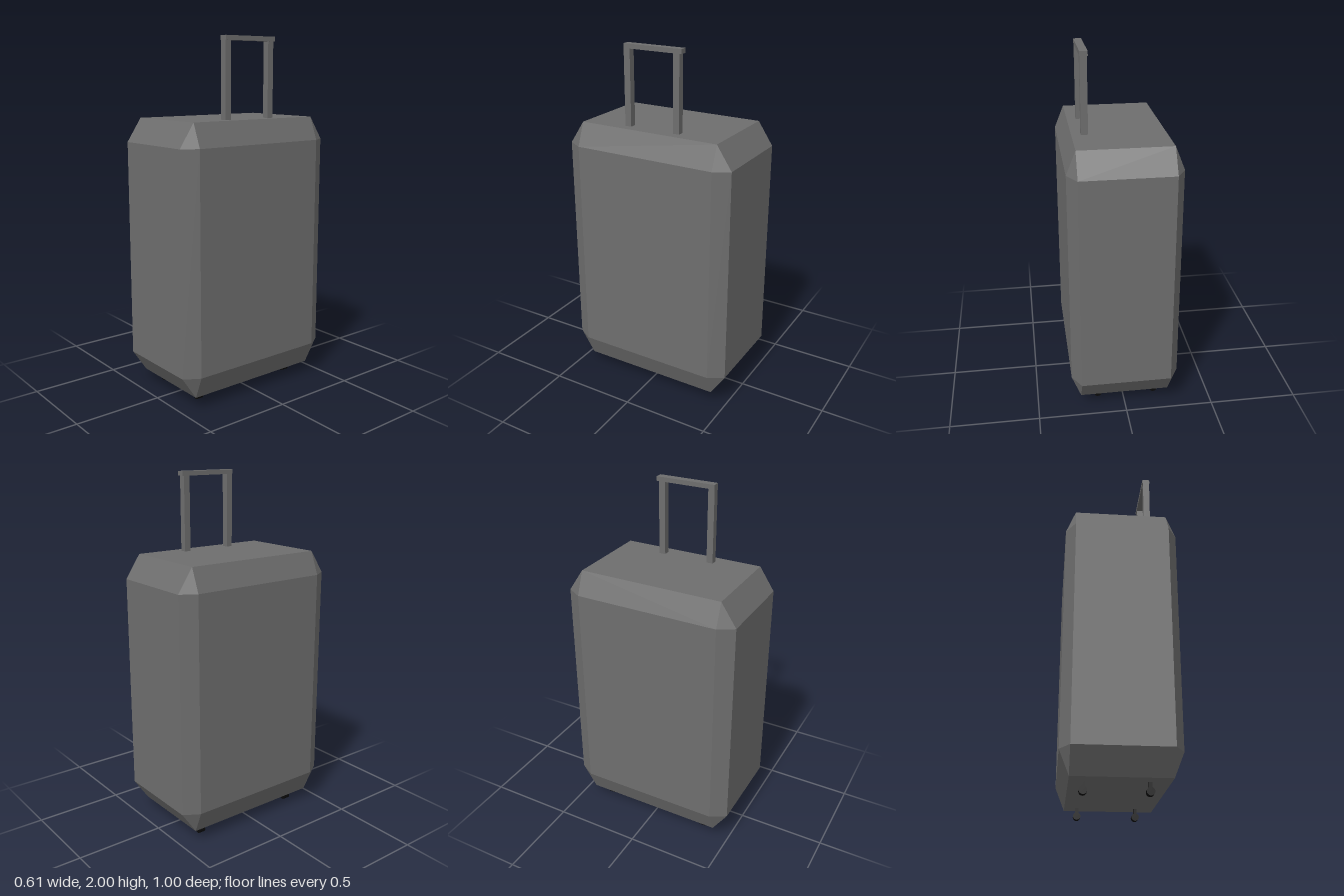
import * as THREE from 'three';
import { ConvexGeometry } from 'three/addons/geometries/ConvexGeometry.js';

export function createModel() {
  const suitcase = new THREE.Group();
  suitcase.name = 'suitcase';

  const shellGrey = new THREE.MeshStandardMaterial({ color: 0x6e6e6e });
  shellGrey.name = 'shell grey';
  const wheelBlack = new THREE.MeshStandardMaterial({ color: 0x0a0a0a });
  wheelBlack.name = 'wheel black';

  function add(parent, name, geometry, material, x, y, z) {
    const mesh = new THREE.Mesh(geometry, material);
    mesh.name = name;
    mesh.position.set(x, y, z);
    parent.add(mesh);
    return mesh;
  }

  // Shell: a box with all edges chamfered, three points at each corner
  const outer = { x: 0.305, y: 0.745, z: 0.5 };
  const inner = { x: 0.253, y: 0.615, z: 0.413 };
  const corners = [];
  for (const sx of [-1, 1]) for (const sy of [-1, 1]) for (const sz of [-1, 1]) {
    corners.push(
      new THREE.Vector3(sx * outer.x, sy * inner.y, sz * inner.z),
      new THREE.Vector3(sx * inner.x, sy * outer.y, sz * inner.z),
      new THREE.Vector3(sx * inner.x, sy * inner.y, sz * outer.z)
    );
  }
  add(suitcase, 'shell', new ConvexGeometry(corners), shellGrey, 0, 0.815, 0);

  // Telescopic handle: two posts and a grip
  const handle = new THREE.Group();
  handle.name = 'handle';
  suitcase.add(handle);
  for (const z of [-0.148, 0.148]) {
    add(handle, 'handlePost', new THREE.BoxGeometry(0.038, 0.44, 0.037), shellGrey, 0.183, 1.765, z);
  }
  add(handle, 'handleGrip', new THREE.BoxGeometry(0.043, 0.025, 0.345), shellGrey, 0.182, 1.9875, -0.006);

  // Four castors: a stem over a wheel whose axle runs along z
  const stem = new THREE.BoxGeometry(0.018, 0.045, 0.018);
  const wheel = new THREE.CylinderGeometry(0.021, 0.021, 0.038, 16).rotateX(Math.PI / 2);
  for (const x of [-0.182, 0.148]) for (const z of [-0.33, 0.32]) {
    const castor = new THREE.Group();
    castor.name = 'castor';
    castor.position.set(x, 0, z);
    suitcase.add(castor);
    add(castor, 'castorStem', stem, wheelBlack, 0, 0.0525, 0);
    add(castor, 'castorWheel', wheel, wheelBlack, 0, 0.023, 0);
  }

  return suitcase;
}
